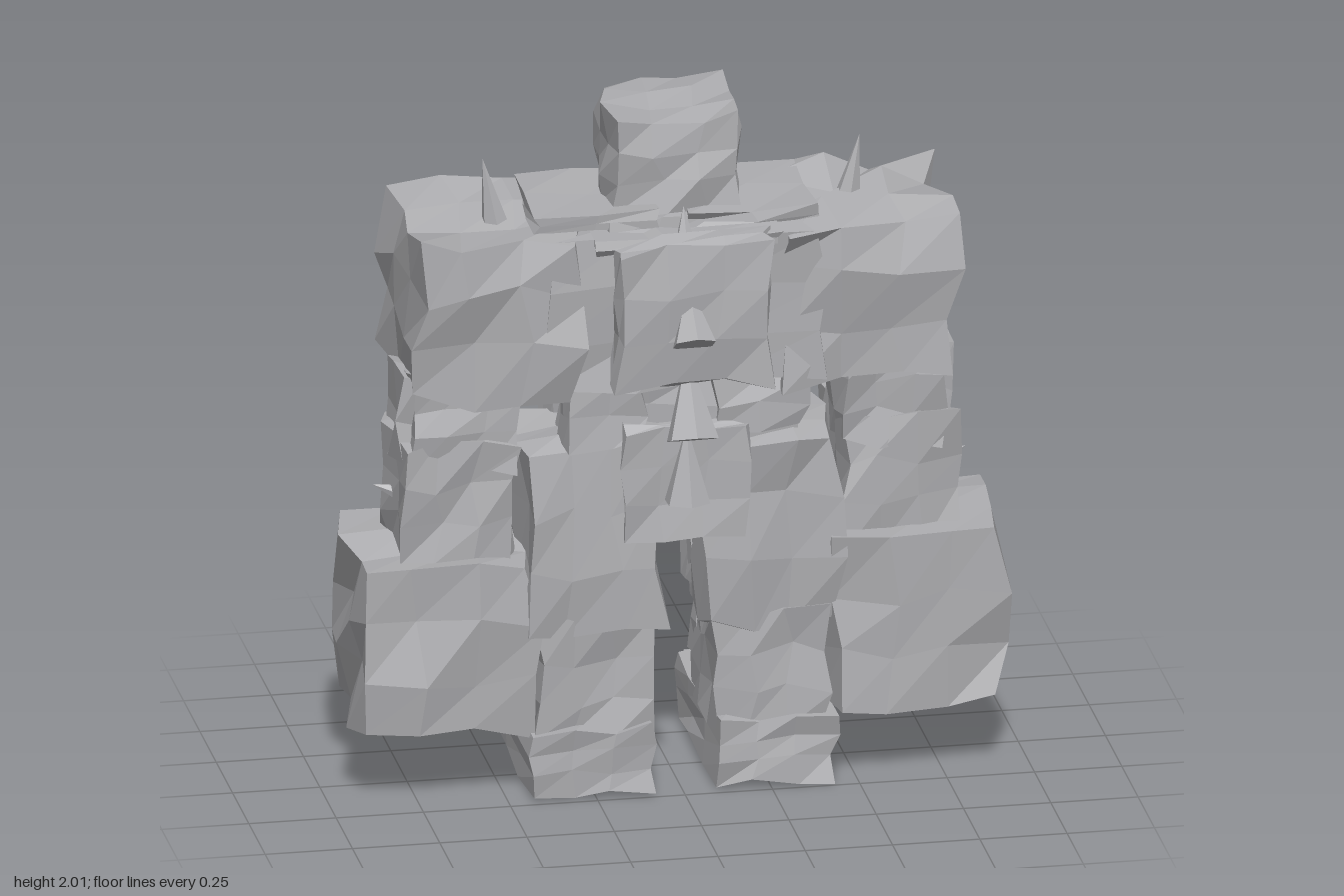
import * as THREE from 'three';

const stone = new THREE.MeshStandardMaterial({ color: 0xaeaeb1, flatShading: true });
stone.name = 'stone';
const ember = new THREE.MeshStandardMaterial({ color: 0xdf903b, flatShading: true });
ember.name = 'ember';

// repeatable noise in -1..1 from a grid position
function noise(x, y, z, seed) {
  const s = Math.sin(x * 12.9898 + y * 78.233 + z * 37.719 + seed * 17.13) * 43758.5453;
  return (s - Math.floor(s)) * 2 - 1;
}

export function createModel() {
  const model = new THREE.Group();
  model.name = 'stoneGolem';
  let seed = 1;

  function add(name, geometry, material = stone) {
    const mesh = new THREE.Mesh(geometry, material);
    mesh.name = name;
    model.add(mesh);
    return mesh;
  }

  // rough-hewn block filling the given ranges; round pulls edges and corners in
  function rock(name, [x0, x1], [y0, y1], [z0, z1], rough = 0.02, n = 3, round = 0) {
    const size = [x1 - x0, y1 - y0, z1 - z0];
    const g = new THREE.BoxGeometry(1, 1, 1, n, n, n);
    const p = g.attributes.position;
    const id = seed++;
    const j = size.map((s) => Math.min(rough, s * 0.12));
    for (let i = 0; i < p.count; i++) {
      const v = [p.getX(i), p.getY(i), p.getZ(i)];
      const k = v.map((c) => Math.round((c + 0.5) * n));
      const sides = v.filter((c) => Math.abs(c) > 0.49).length;
      const pull = 1 - round * (sides - 1);
      const out = v.map((c, a) => c * (size[a] - j[a] * 1.2) * pull
        + j[a] * noise(k[a], k[(a + 1) % 3], k[(a + 2) % 3], id + a * 3.7));
      p.setXYZ(i, out[0] + (x0 + x1) / 2, out[1] + (y0 + y1) / 2, out[2] + (z0 + z1) / 2);
    }
    g.computeVertexNormals();
    return add(name, g);
  }

  // pointed stone from a base centre to a tip
  function spike(name, base, tip, radius, sides = 6) {
    const a = new THREE.Vector3(...base), b = new THREE.Vector3(...tip);
    const dir = b.clone().sub(a);
    const m = add(name, new THREE.ConeGeometry(radius, dir.length(), sides));
    m.position.copy(a).add(b).multiplyScalar(0.5);
    m.quaternion.setFromUnitVectors(new THREE.Vector3(0, 1, 0), dir.normalize());
  }

  // glowing crack
  function glow(name, [x, y, z], [w, h, d], tilt = 0) {
    const m = add(name, new THREE.BoxGeometry(w, h, d), ember);
    m.position.set(x, y, z);
    m.rotation.z = tilt;
  }

  // head
  rock('head', [-0.2, 0.21], [1.69, 2.01], [-0.24, 0.17], 0.022, 3, 0.05);
  rock('brow', [-0.18, 0.19], [1.78, 1.9], [-0.24, -0.1], 0.012, 2);
  rock('jaw', [-0.17, 0.17], [1.65, 1.74], [-0.24, 0.05], 0.015, 2);
  rock('neck', [-0.22, 0.22], [1.52, 1.72], [-0.215, 0.2], 0.015);
  glow('mouthGlow', [0.01, 1.61, -0.22], [0.17, 0.045, 0.03], 0.05);

  // torso
  rock('ribcage', [-0.4, 0.4], [1.22, 1.69], [-0.21, 0.26], 0.02);
  rock('chestPlate', [-0.23, 0.23], [1.23, 1.585], [-0.25, -0.15], 0.008);
  glow('chestGlow', [0.08, 1.47, -0.24], [0.1, 0.03, 0.03], 0.15);
  glow('chestGlow', [-0.08, 1.3, -0.24], [0.09, 0.03, 0.03], -0.25);
  rock('waist', [-0.32, 0.34], [0.9, 1.28], [-0.15, 0.2], 0.02);
  rock('bellyPlate', [-0.33, 0.36], [0.79, 1.26], [-0.22, -0.08], 0.02);
  rock('pelvis', [-0.2, 0.2], [0.77, 1.05], [-0.14, 0.2]);

  // slabs around the neck
  rock('neckSlab', [-0.42, -0.06], [1.68, 1.745], [-0.18, 0.2], 0.012, 2);
  rock('neckSlab', [0.02, 0.4], [1.66, 1.73], [-0.2, 0.2], 0.012, 2);
  rock('neckSlab', [-0.26, 0.28], [1.64, 1.69], [0.05, 0.28], 0.012, 2);

  // back plates and spines
  rock('upperBackPlate', [-0.22, 0.24], [1.25, 1.69], [0.2, 0.365], 0.018);
  rock('lowerBackPlate', [-0.19, 0.185], [0.765, 1.115], [0.16, 0.26], 0.015);
  rock('backSlab', [0.08, 0.36], [1.06, 1.24], [0.1, 0.235], 0.018, 2);
  rock('backSlab', [-0.34, -0.1], [1.04, 1.24], [0.1, 0.235], 0.018, 2);
  spike('backSpine', [0, 1.66, 0.25], [0, 1.76, 0.22], 0.03);
  spike('backSpine', [0, 1.405, 0.39], [0, 1.56, 0.29], 0.065);
  spike('backSpine', [0, 1.11, 0.365], [0, 1.34, 0.27], 0.078);
  spike('backSpine', [0, 0.895, 0.285], [0, 1.12, 0.27], 0.068);

  for (const s of [1, -1]) {
    const side = s > 0 ? 'left' : 'right';
    const span = (a, b) => (s > 0 ? [a, b] : [-b, -a]);

    // arm
    rock(side + 'Shoulder', span(0.28, 0.795), [1.2, 1.72], [-0.25, 0.28], 0.035);
    spike(side + 'ShoulderSpike', [s * 0.49, 1.6, 0.03], [s * 0.54, 1.87, 0.03], 0.055);
    rock(side + 'UpperArm', span(0.45, 0.77), [0.97, 1.28], [-0.11, 0.18]);
    rock(side + 'UpperArmPlate', span(0.66, 0.8), [0.98, 1.26], [-0.11, 0.12], 0.015, 2);
    glow(side + 'ElbowGlow', [s * 0.58, 1.14, -0.125], [0.07, 0.13, 0.06]);
    rock(side + 'Forearm', span(0.46, 0.81), [0.68, 1.075], [-0.175, 0.175]);
    spike(side + 'ElbowSpike', [s * 0.76, 0.87, 0.01], [s * 0.85, 0.9, 0.0], 0.03);
    rock(side + 'Fist', span(0.41, 0.93), [0.19, 0.735], [-0.26, 0.24], 0.03);
    for (const x of [0.57, 0.665, 0.76]) {
      const knuckle = add(side + 'Knuckle', new THREE.SphereGeometry(0.04, 6, 4));
      knuckle.position.set(s * x, 0.53, -0.253);
      knuckle.scale.set(0.9, 1.5, 1);
    }

    // leg
    rock(side + 'Thigh', span(0.045, 0.46), [0.47, 1.06], [-0.13, 0.235], 0.025);
    rock(side + 'ThighPlate', span(0.07, 0.42), [0.5, s > 0 ? 0.69 : 0.75], [-0.19, -0.04], 0.015, 2);
    glow(side + 'HipGlow', [s * 0.24, 0.74, -0.125], [0.055, 0.12, 0.05]);
    rock(side + 'Shin', span(0.08, 0.425), [0.15, 0.53], [-0.14, 0.215]);
    rock(side + 'Foot', span(0.08, 0.445), [0.005, 0.215], [-0.38, 0.24], 0.015);
    rock(side + 'Toe', span(0.11, 0.415), [0.03, 0.185], [-0.45, -0.33], 0.012, 2);
  }

  // the left knee is covered, the right one glows through
  rock('leftShinPlate', [0.09, 0.41], [0.27, 0.52], [-0.2, -0.08], 0.015, 2);
  glow('rightKneeGlow', [-0.22, 0.4, -0.125], [0.06, 0.15, 0.05]);
  return model;
}
